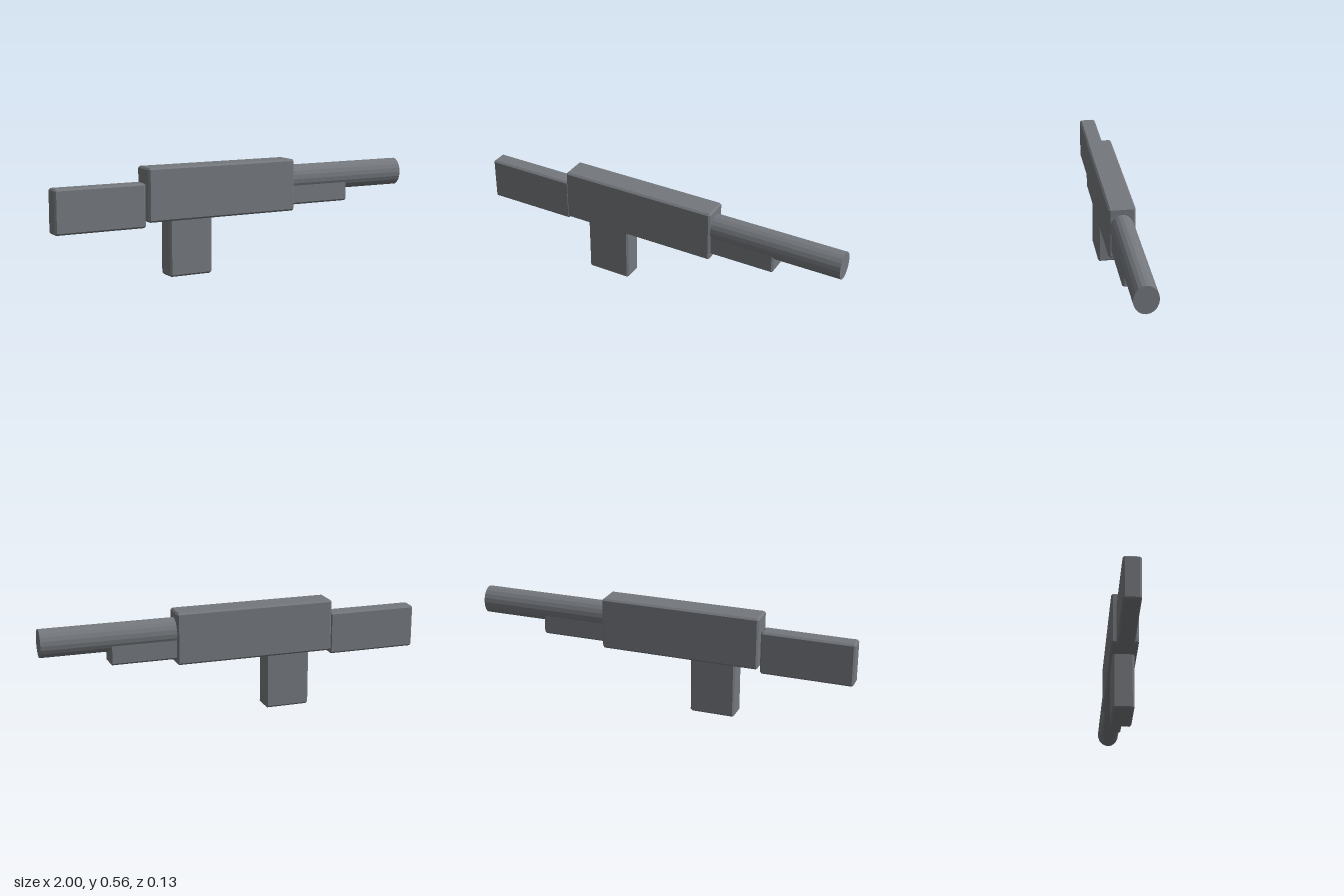
import * as THREE from 'three';
import { ConvexGeometry } from 'three/addons/geometries/ConvexGeometry.js';

// Box with flat chamfers on every edge; c is the chamfer size
function chamferBox(w, h, d, c) {
  const half = [w / 2, h / 2, d / 2];
  const points = [];
  for (const sx of [-1, 1]) for (const sy of [-1, 1]) for (const sz of [-1, 1]) {
    for (let axis = 0; axis < 3; axis++) {
      // each corner becomes three points, one lying on each adjoining face
      const p = half.map((v, i) => (i === axis ? v : v - c));
      points.push(new THREE.Vector3(p[0] * sx, p[1] * sy, p[2] * sz));
    }
  }
  return new ConvexGeometry(points);
}

export function createModel() {
  const group = new THREE.Group();
  group.name = 'toyBlaster';
  const grey = new THREE.MeshStandardMaterial({ color: 0x74787d });
  grey.name = 'grey';

  // name, x range, y range, depth
  const blocks = [
    ['body', -0.52, 0.315, 0.286, 0.556, 0.134],
    ['stock', -1, -0.525, 0.258, 0.48, 0.086],
    ['grip', -0.4, -0.165, 0, 0.3, 0.106],
    ['foregrip', 0.29, 0.655, 0.315, 0.443, 0.104],
  ];
  for (const [name, x0, x1, y0, y1, depth] of blocks) {
    const mesh = new THREE.Mesh(chamferBox(x1 - x0, y1 - y0, depth, 0.009), grey);
    mesh.name = name;
    mesh.position.set((x0 + x1) / 2, (y0 + y1) / 2, 0);
    group.add(mesh);
  }

  // Oval faceted barrel running along x, closed at both ends
  const x0 = 0.29, x1 = 1;
  let tube = new THREE.CylinderGeometry(1, 1, x1 - x0, 20);
  tube.rotateZ(-Math.PI / 2);
  tube.scale(1, 0.072, 0.06);
  tube = tube.toNonIndexed();
  tube.computeVertexNormals();
  const barrel = new THREE.Mesh(tube, grey);
  barrel.name = 'barrel';
  barrel.position.set((x0 + x1) / 2, 0.449, 0);
  group.add(barrel);

  return group;
}
